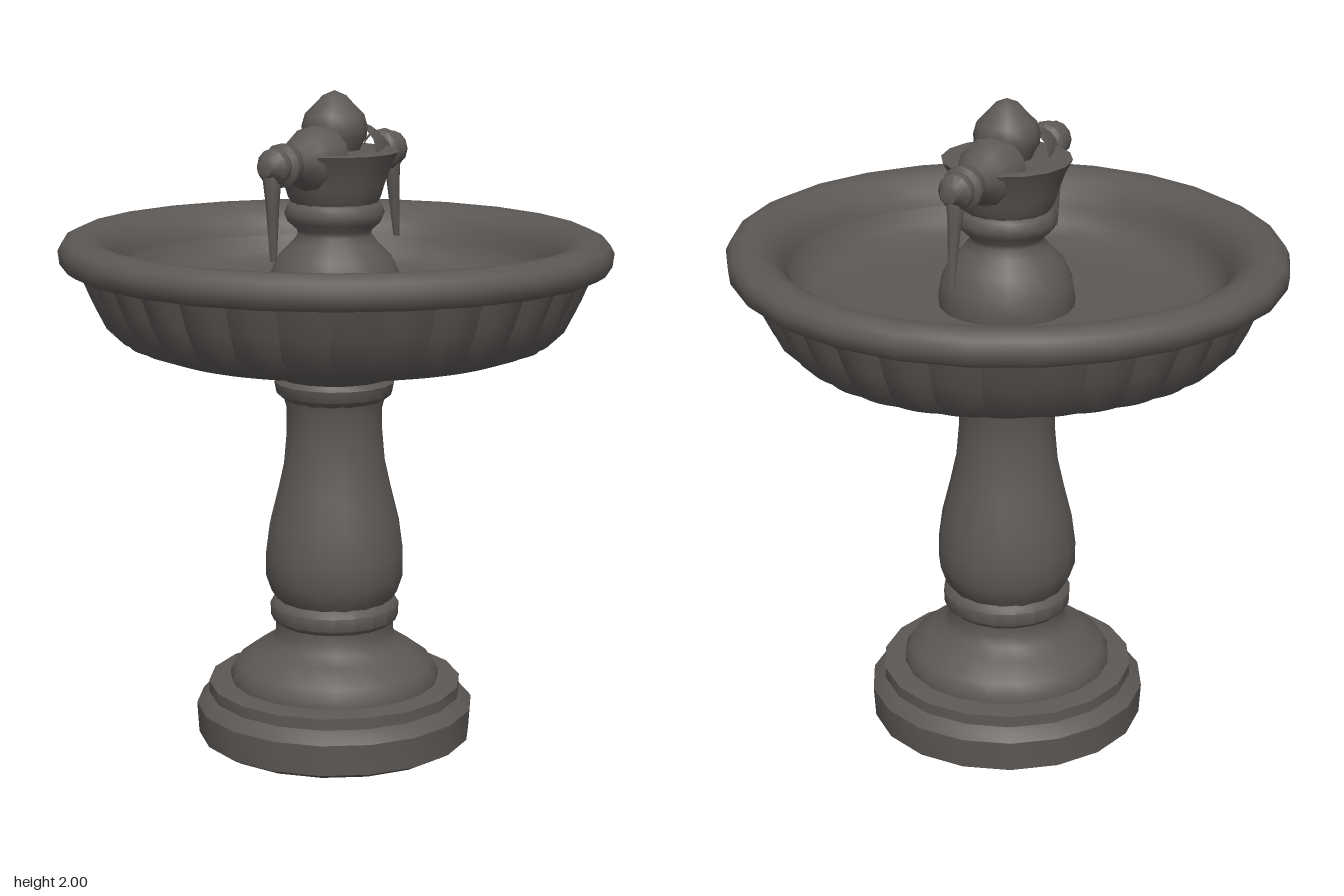
import * as THREE from 'three';
import { toCreasedNormals } from 'three/addons/utils/BufferGeometryUtils.js';

const stone = new THREE.MeshStandardMaterial({ color: 0x5c5855 });
stone.name = 'dark stone';

// Turned part from [radius, height] pairs; rising pairs face outward, falling pairs inward
function turned(name, profile, sides, crease = 0.75, reshape) {
  const geo = new THREE.LatheGeometry(profile.map(([r, y]) => new THREE.Vector2(r, y)), sides);
  if (reshape) {
    const p = geo.attributes.position;
    const v = new THREE.Vector3();
    for (let i = 0; i < p.count; i++) {
      reshape(v.fromBufferAttribute(p, i));
      p.setXYZ(i, v.x, v.y, v.z);
    }
  }
  const mesh = new THREE.Mesh(toCreasedNormals(geo, crease), stone);
  mesh.name = name;
  return mesh;
}

export function createModel() {
  const fountain = new THREE.Group();
  fountain.name = 'fountain';

  // Stepped foot
  fountain.add(turned('plinth', [
    [0, 0.004], [0.39, 0.008], [0.42, 0.025], [0.426, 0.12], [0.402, 0.145],
    [0.388, 0.155], [0.388, 0.19], [0.36, 0.196], [0, 0.196],
  ], 18));
  fountain.add(turned('plinthMoulding', [
    [0.32, 0.19], [0.32, 0.22], [0.3, 0.25], [0.24, 0.295], [0.195, 0.32],
    [0.18, 0.35], [0.18, 0.38], [0.195, 0.395], [0.197, 0.435], [0.185, 0.45], [0.17, 0.46],
  ], 20));

  // Baluster column and collar under the bowl
  fountain.add(turned('column', [
    [0.175, 0.45], [0.195, 0.48], [0.212, 0.53], [0.212, 0.6], [0.2, 0.69], [0.175, 0.79],
    [0.155, 0.88], [0.147, 0.97], [0.146, 1.05], [0.155, 1.085],
  ], 16, 0.9));
  fountain.add(turned('capital', [
    [0.15, 1.075], [0.175, 1.095], [0.182, 1.13], [0.17, 1.145], [0.2, 1.165],
    [0.27, 1.175], [0.285, 1.19], [0.28, 1.23],
  ], 18));

  // Bowl: fluted underside, rolled rim, dished inside; drawn in slightly on the diagonals
  const bowl = new THREE.Group();
  bowl.name = 'bowl';
  bowl.scale.z = 1.03;
  const drawIn = (v) => {
    const k = 1 - 0.014 * Math.sin(2 * Math.atan2(v.x, v.z)) ** 2;
    v.x *= k;
    v.z *= k;
  };
  const flute = (v) => {
    const depth = 0.028 * THREE.MathUtils.smoothstep(v.y, 1.225, 1.33);
    const k = 1 - depth * (1 - Math.abs(Math.sin(Math.atan2(v.x, v.z) * 16)));
    v.x *= k;
    v.z *= k;
    drawIn(v);
  };
  bowl.add(turned('bowlUnderside', [
    [0.1, 1.2], [0.28, 1.205], [0.42, 1.22], [0.55, 1.24], [0.64, 1.272], [0.69, 1.32],
    [0.725, 1.39], [0.75, 1.45], [0.765, 1.49],
  ], 128, 0.6, flute));
  bowl.add(turned('bowlRim', [
    [0.74, 1.485], [0.79, 1.48], [0.813, 1.495], [0.818, 1.535], [0.805, 1.56], [0.77, 1.578],
    [0.725, 1.575], [0.685, 1.552], [0.655, 1.515], [0.64, 1.47],
  ], 26, 1, drawIn));
  bowl.add(turned('basin', [
    [0.642, 1.48], [0.62, 1.43], [0.575, 1.4], [0.45, 1.385], [0.2, 1.375], [0, 1.375],
  ], 26, 1, drawIn));
  fountain.add(bowl);

  // Dome, flared head and finial
  fountain.add(turned('dome', [
    [0.2, 1.36], [0.205, 1.4], [0.197, 1.45], [0.17, 1.51], [0.13, 1.55], [0.11, 1.575],
    [0.112, 1.59], [0.14, 1.615], [0.15, 1.64], [0.14, 1.665], [0.125, 1.675],
  ], 18, 0.9));
  fountain.add(turned('head', [
    [0.125, 1.665], [0.14, 1.69], [0.152, 1.73], [0.17, 1.78], [0.192, 1.822],
    [0.175, 1.828], [0.12, 1.815], [0.06, 1.83],
  ], 16, 0.9));
  fountain.add(turned('finial', [
    [0.07, 1.8], [0.078, 1.835], [0.095, 1.865], [0.098, 1.895], [0.088, 1.93],
    [0.058, 1.96], [0.035, 1.985], [0, 2],
  ], 12, 1));

  // Spouts and the water jets hanging from them
  for (const side of [-1, 1]) {
    const label = side > 0 ? 'left' : 'right';
    const spout = turned(label + 'Spout', [
      [0.105, 0.07], [0.098, 0.12], [0.078, 0.165], [0.055, 0.2], [0.05, 0.225], [0.062, 0.235],
      [0.064, 0.265], [0.048, 0.275], [0.054, 0.29], [0.052, 0.31], [0.03, 0.325],
      [0.026, 0.345], [0, 0.352],
    ], 12, 0.9);
    spout.rotation.z = -side * Math.PI / 2;
    spout.position.y = 1.803;
    fountain.add(spout);

    const top = side > 0 ? 0.297 : -0.308;
    const lean = side > 0 ? 0.027 : 0.004;
    fountain.add(turned(label + 'Jet', [
      [0, 1.53], [0.01, 1.53], [0.014, 1.6], [0.02, 1.7], [0.027, 1.765], [0.022, 1.8],
    ], 8, 0.9, (v) => { v.x += top + lean * (1.8 - v.y) / 0.22; }));
  }

  return fountain;
}
